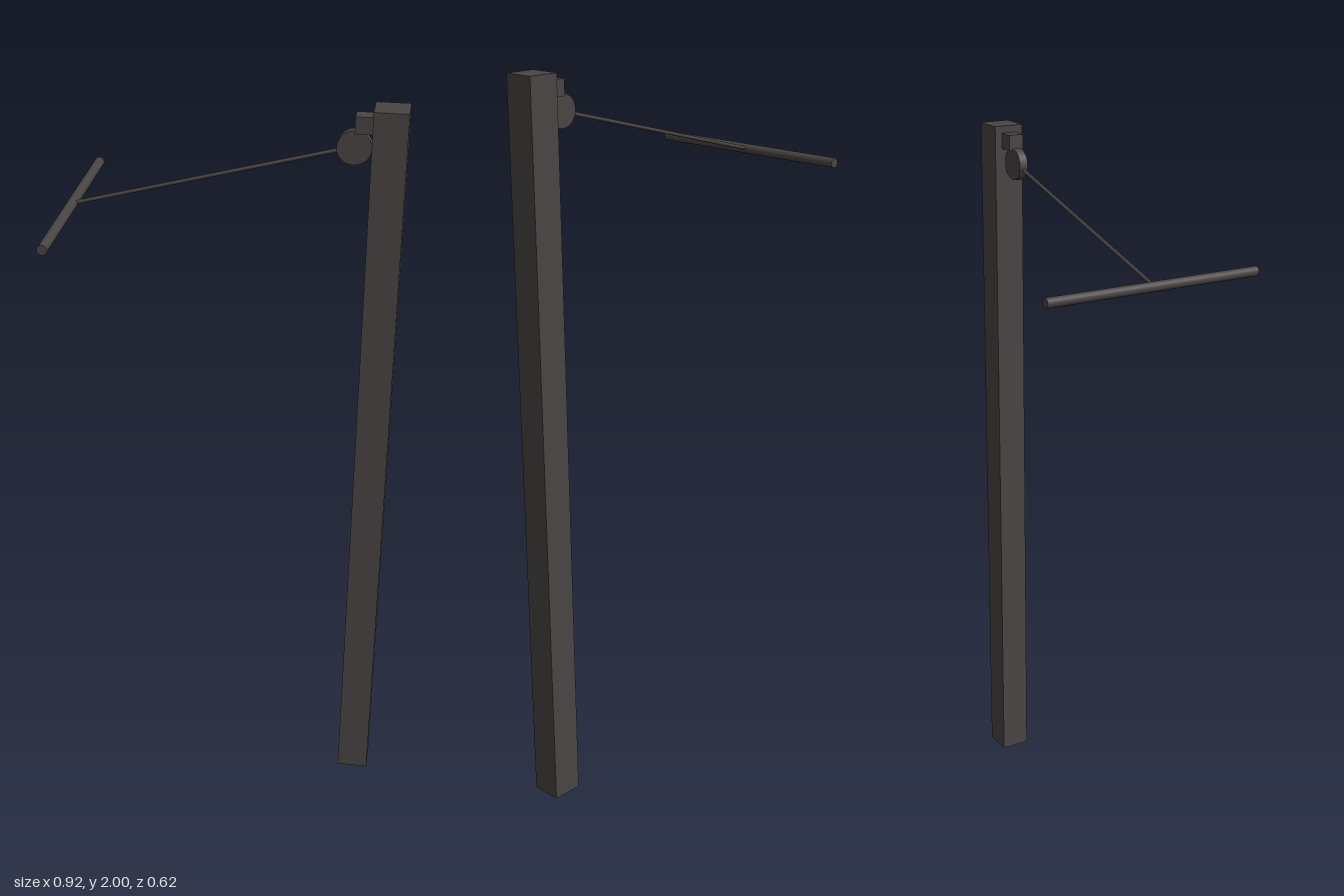
import * as THREE from 'three';

export function createModel() {
  const model = new THREE.Group();
  model.name = 'postWithSwingBar';
  // Local frame: the arm points along -x, the whole thing is turned 20 degrees
  model.position.set(0.403, 0, 0.255);
  model.rotation.y = -THREE.MathUtils.degToRad(20.2);
  const root = new THREE.Group();
  root.add(model);

  const darkMetal = new THREE.MeshStandardMaterial({ color: 0x4a4545 });
  darkMetal.name = 'darkMetal';

  function add(name, geometry, x, y, z = 0) {
    const mesh = new THREE.Mesh(geometry, darkMetal);
    mesh.name = name;
    mesh.position.set(x, y, z);
    model.add(mesh);
    return mesh;
  }

  // Square post and the small block near its top
  add('post', new THREE.BoxGeometry(0.085, 2, 0.085), 0, 1, 0);
  add('bracket', new THREE.BoxGeometry(0.044, 0.043, 0.043), -0.064, 1.959);

  // Pulley wheel with a sideways axle
  const wheel = new THREE.Vector3(-0.086, 1.9, 0);
  add('pulley', new THREE.CylinderGeometry(0.043, 0.043, 0.024, 24), wheel.x, wheel.y)
    .rotation.x = Math.PI / 2;

  // Horizontal crossbar
  const bar = new THREE.Vector3(-0.791, 1.712, 0);
  add('crossbar', new THREE.CylinderGeometry(0.0132, 0.0132, 0.622, 24), bar.x, bar.y)
    .rotation.x = Math.PI / 2;

  // Thin cable from pulley to crossbar
  const span = wheel.clone().sub(bar);
  const mid = wheel.clone().add(bar).multiplyScalar(0.5);
  add('cable', new THREE.CylinderGeometry(0.005, 0.005, span.length(), 12), mid.x, mid.y)
    .quaternion.setFromUnitVectors(new THREE.Vector3(0, 1, 0), span.normalize());

  return root;
}
